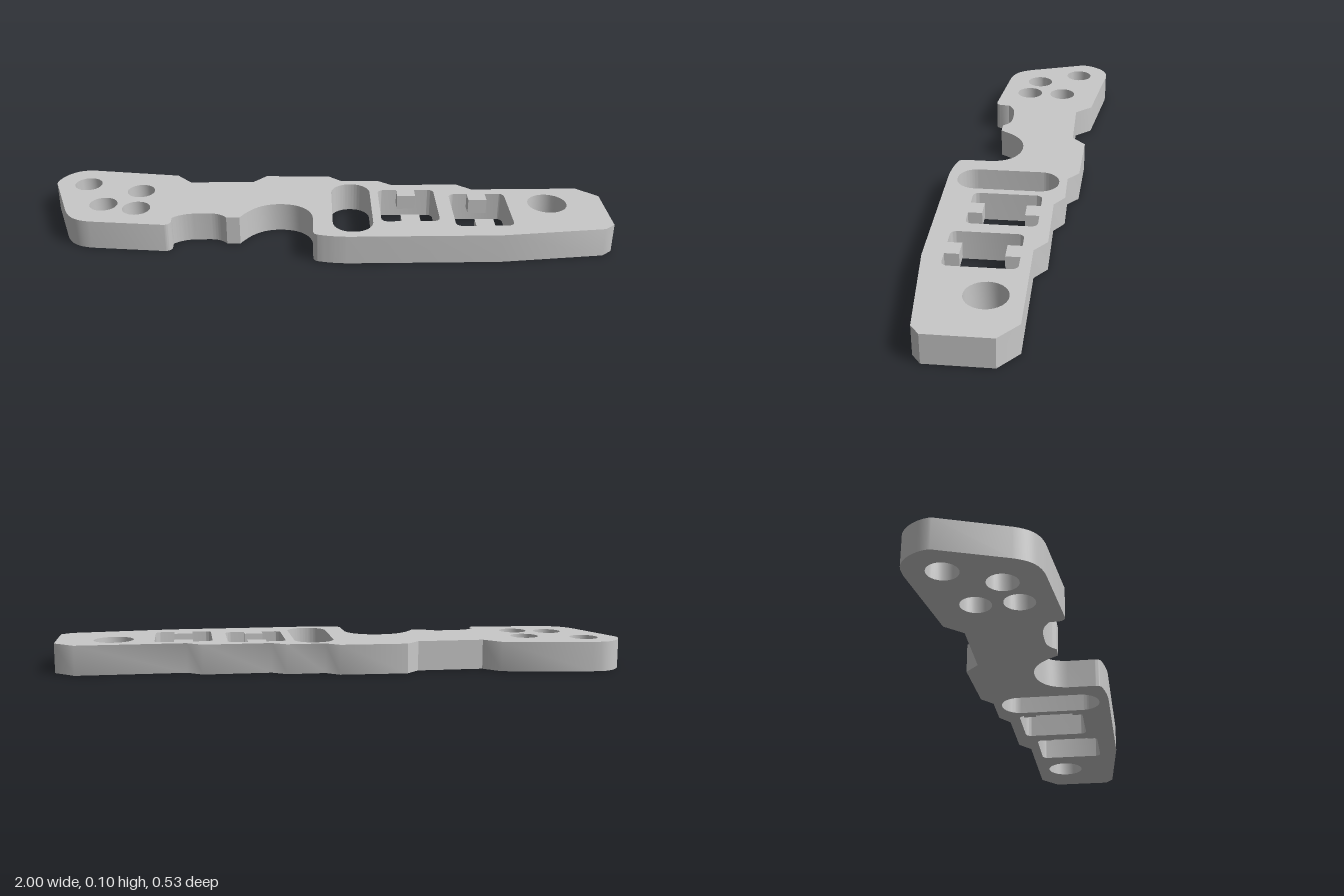
import * as THREE from 'three';
import { toCreasedNormals } from 'three/addons/utils/BufferGeometryUtils.js';

const THICK = 0.105;
const TAB = 0.053;

// All plan coordinates are (x, z); the shape's y is -z.
// Holes run opposite to the clockwise outline so their walls face inward.
function circleHole(x, z, r) {
  return new THREE.Path().absarc(x, -z, r, 0, Math.PI * 2, false);
}

function roundedHole(x0, z0, x1, z1, r) {
  const p = new THREE.Path();
  const H = Math.PI / 2;
  p.absarc(x1 - r, -z0 - r, r, 0, H, false);
  p.absarc(x0 + r, -z0 - r, r, H, 2 * H, false);
  p.absarc(x0 + r, -z1 + r, r, 2 * H, 3 * H, false);
  p.absarc(x1 - r, -z1 + r, r, 3 * H, 4 * H, false);
  p.closePath();
  return p;
}

export function createModel() {
  const group = new THREE.Group();
  group.name = 'slottedHandlePlate';
  const grey = new THREE.MeshStandardMaterial({ color: 0xc8c8c8 });
  grey.name = 'plain grey';

  // Plate outline
  const s = new THREE.Shape();
  const line = (pts) => pts.forEach(([x, z]) => s.lineTo(x, -z));
  s.moveTo(-1, 0.16);
  s.bezierCurveTo(-1, 0.205, -0.955, 0.267, -0.9, 0.267);
  line([[-0.87, -0.266], [-0.553, -0.217], [-0.5, -0.158], [-0.265, -0.158],
    [-0.217, -0.206], [0.02, -0.197], [0.065, -0.158], [0.2, -0.158],
    [0.25, -0.122], [0.49, -0.122], [0.543, -0.08], [0.928, -0.08],
    [1, -0.017], [1, 0.2], [0.963, 0.23], [0.6, 0.267], [0.08, 0.267]]);
  s.quadraticCurveTo(0.02, -0.265, -0.03, -0.25);
  s.quadraticCurveTo(-0.045, -0.245, -0.045, -0.225);
  // finger scoops
  line([[-0.045, 0.13]]);
  s.bezierCurveTo(-0.05, -0.06, -0.1, -0.024, -0.165, -0.024);
  s.bezierCurveTo(-0.24, -0.024, -0.275, -0.075, -0.303, -0.122);
  line([[-0.35, 0.122]]);
  s.quadraticCurveTo(-0.37, -0.092, -0.41, -0.09);
  line([[-0.46, 0.09]]);
  s.quadraticCurveTo(-0.51, -0.092, -0.54, -0.12);
  line([[-0.54, 0.15]]);
  s.quadraticCurveTo(-0.545, -0.171, -0.565, -0.171);
  line([[-0.826, 0.142]]);
  s.bezierCurveTo(-0.88, -0.132, -0.905, -0.11, -0.925, -0.06);
  s.closePath();

  // Round holes, long slot and two windows
  [[-0.88, -0.15, 0.05], [-0.676, -0.09, 0.05], [-0.798, 0.012, 0.05],
    [-0.676, 0.045, 0.05], [0.799, 0.037, 0.07]]
    .forEach((c) => s.holes.push(circleHole(...c)));
  s.holes.push(roundedHole(0.024, -0.13, 0.165, 0.232, 0.068));
  const windows = [[0.195, -0.08, 0.4, 0.16], [0.452, -0.043, 0.655, 0.198]];
  windows.forEach((w) => s.holes.push(roundedHole(...w, 0.022)));

  let geo = new THREE.ExtrudeGeometry(s, { depth: THICK, bevelEnabled: false, curveSegments: 14 });
  geo.rotateX(-Math.PI / 2);
  geo = toCreasedNormals(geo, 0.77);
  const plate = new THREE.Mesh(geo, grey);
  plate.name = 'plate';
  group.add(plate);

  // Half-height tabs reaching into each window, flush with the top
  const tabGeo = new THREE.BoxGeometry(0.066, TAB, 0.048);
  for (const [x0, z0, x1, z1] of windows) {
    for (const z of [z0 + 0.024, z1 - 0.024]) {
      const tab = new THREE.Mesh(tabGeo, grey);
      tab.name = 'windowTab';
      tab.position.set((x0 + x1) / 2, THICK - TAB / 2, z);
      group.add(tab);
    }
  }
  return group;
}
